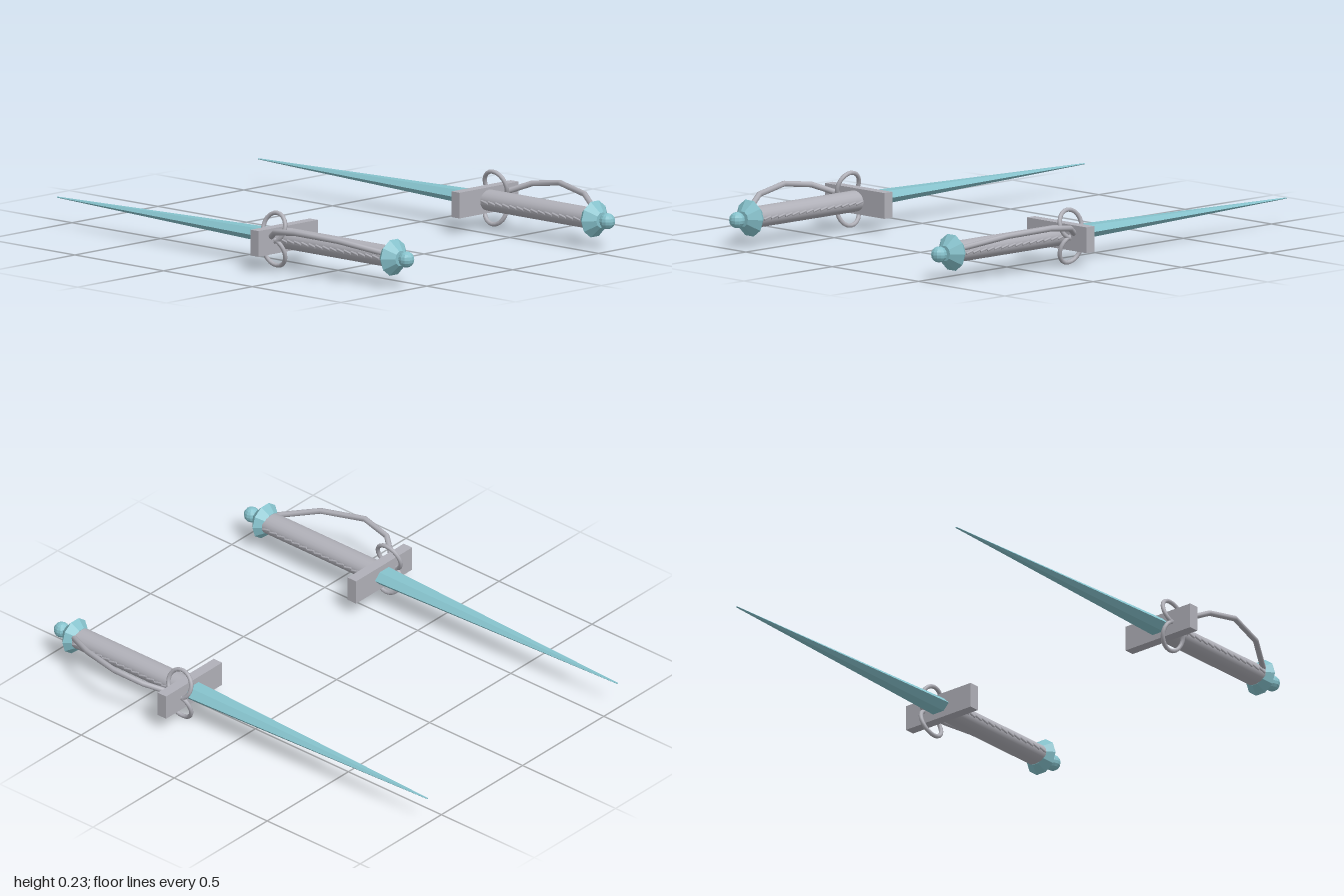
import * as THREE from 'three';

const steel = new THREE.MeshStandardMaterial({ color: 0x86c2cc });
steel.name = 'paleBlueSteel';
steel.flatShading = true;
const grey = new THREE.MeshStandardMaterial({ color: 0xb0b0b8 });
grey.name = 'grey';

const AXIS_Y = 0.12; // height of the dagger's long axis

function add(parent, name, geometry, material, x = 0, y = 0, z = 0) {
  const mesh = new THREE.Mesh(geometry, material);
  mesh.name = name;
  mesh.position.set(x, y, z);
  parent.add(mesh);
  return mesh;
}

// Dagger along z, point toward -z; side (+1/-1) is where the knuckle bow sits
function dagger(side) {
  const g = new THREE.Group();

  // Hexagonal blade, flattened, tapering to the point
  const blade = new THREE.CylinderGeometry(0.004, 0.057, 1.28, 6);
  blade.rotateY(Math.PI / 2).rotateX(-Math.PI / 2).scale(1, 0.58, 1);
  add(g, 'blade', blade, steel, 0, 0, -0.36);

  // Cross guard
  add(g, 'crossGuard', new THREE.BoxGeometry(0.345, 0.106, 0.045), grey, 0, 0, 0.278);

  // Oval grip
  const grip = new THREE.CylinderGeometry(0.043, 0.043, 0.58, 20);
  grip.rotateX(Math.PI / 2).scale(1.2, 1, 1);
  add(g, 'grip', grip, grey, 0, 0, 0.58);

  // Slanted stitches along both sides of the grip
  for (const s of [-1, 1]) {
    for (let i = 0; i < 14; i++) {
      const stitch = new THREE.CylinderGeometry(0.005, 0.005, 0.038, 6);
      stitch.rotateX(Math.PI / 2 + 0.22);
      add(g, 'gripStitch', stitch, grey, s * 0.051, 0, 0.325 + i * 0.04);
    }
  }

  // Pommel collar and ball
  const profile = [[0, -0.036], [0.046, -0.036], [0.077, 0], [0.032, 0.04], [0, 0.04]]
    .map(([r, h]) => new THREE.Vector2(r, h));
  const collar = new THREE.LatheGeometry(profile, 10);
  collar.rotateY(Math.PI / 2).rotateX(Math.PI / 2);
  add(g, 'pommelCollar', collar, steel, 0, 0, 0.896);
  add(g, 'pommelBall', new THREE.SphereGeometry(0.033, 12, 8), steel, 0, 0, 0.967);

  // Two finger rings leaning inward above and below the guard
  for (const v of [-1, 1]) {
    const ring = new THREE.TorusGeometry(0.06, 0.009, 8, 20);
    ring.rotateY(Math.PI / 2);
    const mesh = add(g, 'fingerRing', ring, grey, side * 0.06, v * 0.051, 0.28);
    mesh.rotation.z = side * v * 0.29;
  }

  // Knuckle bow in straight segments
  const points = [
    [0.075, 0.008, 0.27], [0.165, 0.058, 0.385], [0.185, 0.075, 0.52],
    [0.132, 0.06, 0.712], [0.04, 0.02, 0.865],
  ].map(([x, y, z]) => new THREE.Vector3(side * x, y, z));
  const path = new THREE.CatmullRomCurve3(points);
  path.getPointAt = path.getPoint;
  path.getTangentAt = path.getTangent;
  add(g, 'knuckleBow', new THREE.TubeGeometry(path, points.length - 1, 0.012, 8), grey);
  return g;
}

export function createModel() {
  const model = new THREE.Group();
  model.name = 'daggerPair';
  for (const side of [-1, 1]) {
    const d = dagger(side);
    d.name = side > 0 ? 'leftDagger' : 'rightDagger';
    d.position.set(side * 0.585, AXIS_Y, 0);
    model.add(d);
  }
  return model;
}
